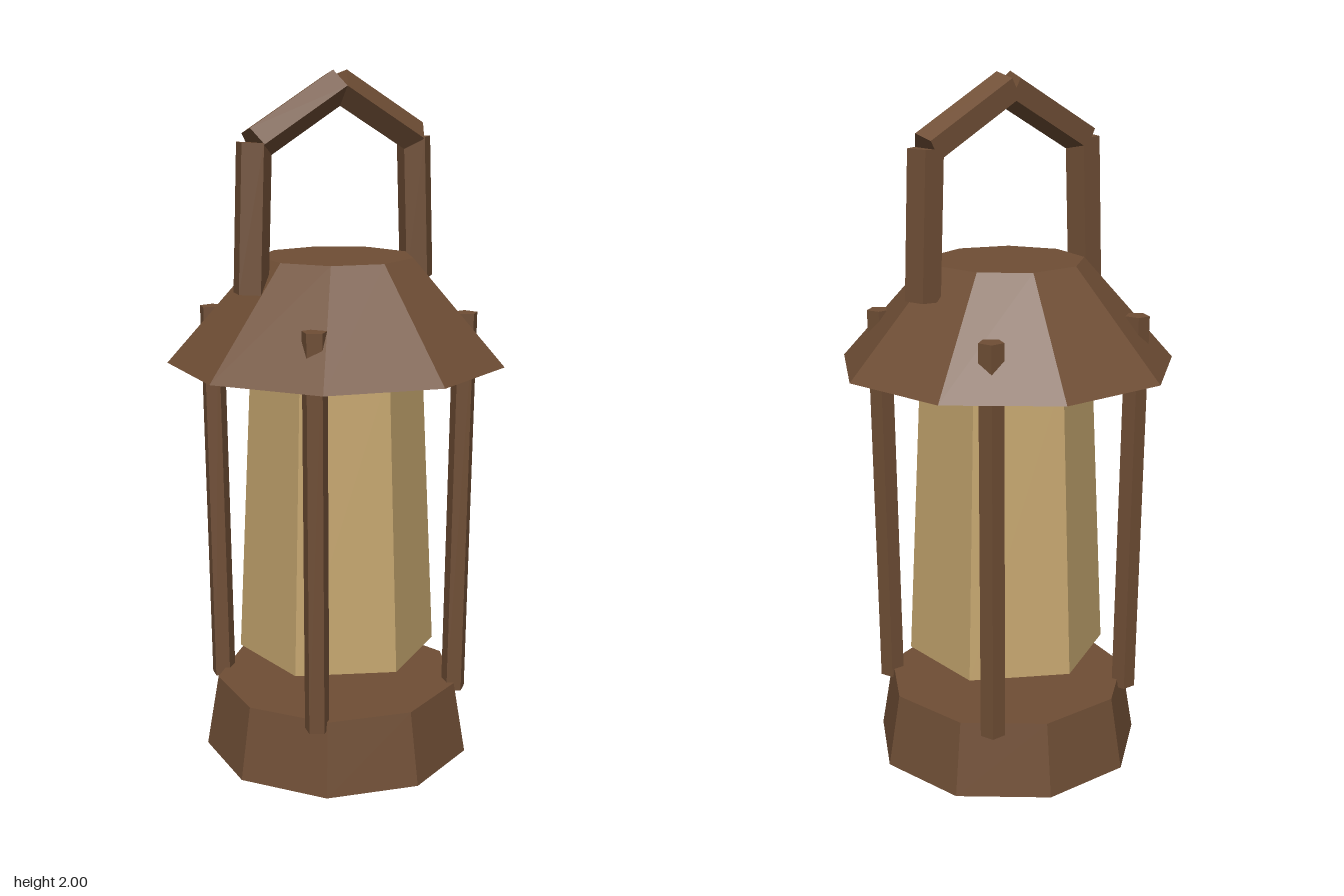
import * as THREE from 'three';

const brown = new THREE.MeshStandardMaterial({ color: 0x6f4e35, flatShading: true });
const amber = new THREE.MeshStandardMaterial({ color: 0xc4a56e, flatShading: true });

// Upright faceted frustum between two heights, one corner facing +z
function frustum(name, rTop, rBottom, y0, y1, sides, material) {
  const mesh = new THREE.Mesh(new THREE.CylinderGeometry(rTop, rBottom, y1 - y0, sides), material);
  mesh.name = name;
  mesh.position.y = (y0 + y1) / 2;
  return mesh;
}

// Five-sided bar running from point a to point b
function bar(name, a, b, radius) {
  const from = new THREE.Vector3(...a), to = new THREE.Vector3(...b);
  const dir = to.clone().sub(from);
  const mesh = new THREE.Mesh(new THREE.CylinderGeometry(radius, radius, dir.length(), 5), brown);
  mesh.name = name;
  mesh.position.copy(from).add(to).multiplyScalar(0.5);
  mesh.quaternion.setFromUnitVectors(new THREE.Vector3(0, 1, 0), dir.normalize());
  return mesh;
}

export function createModel() {
  const lantern = new THREE.Group();
  lantern.name = 'lantern';

  // Body: base, glass and roof
  lantern.add(
    frustum('base', 0.36, 0.396, 0, 0.215, 9, brown),
    frustum('glass', 0.249, 0.291, 0.315, 1.2, 6, amber),
    frustum('roof', 0.222, 0.487, 1.185, 1.485, 9, brown),
  );

  // Four corner posts, splayed slightly and poking through the roof
  for (const sx of [-1, 1]) {
    for (const sz of [-1, 1]) {
      const post = bar('post', [sx * 0.25, 0.19, sz * 0.25], [sx * 0.261, 1.332, sz * 0.261], 0.036);
      lantern.add(post);
    }
  }

  // Carrying handle: two uprights and two sloping bars
  const handle = new THREE.Group();
  handle.name = 'handle';
  for (const s of [-1, 1]) {
    handle.add(
      bar('handleUpright', [s * 0.291, 1.403, 0], [s * 0.275, 1.81, 0], 0.051),
      bar('handleTop', [s * 0.273, 1.807, 0], [0, 1.957, 0], 0.051),
    );
  }
  lantern.add(handle);

  // Odd-sided rings reach further forward than back, so shift to centre
  lantern.position.z = -0.016;
  const model = new THREE.Group();
  model.add(lantern);
  return model;
}
